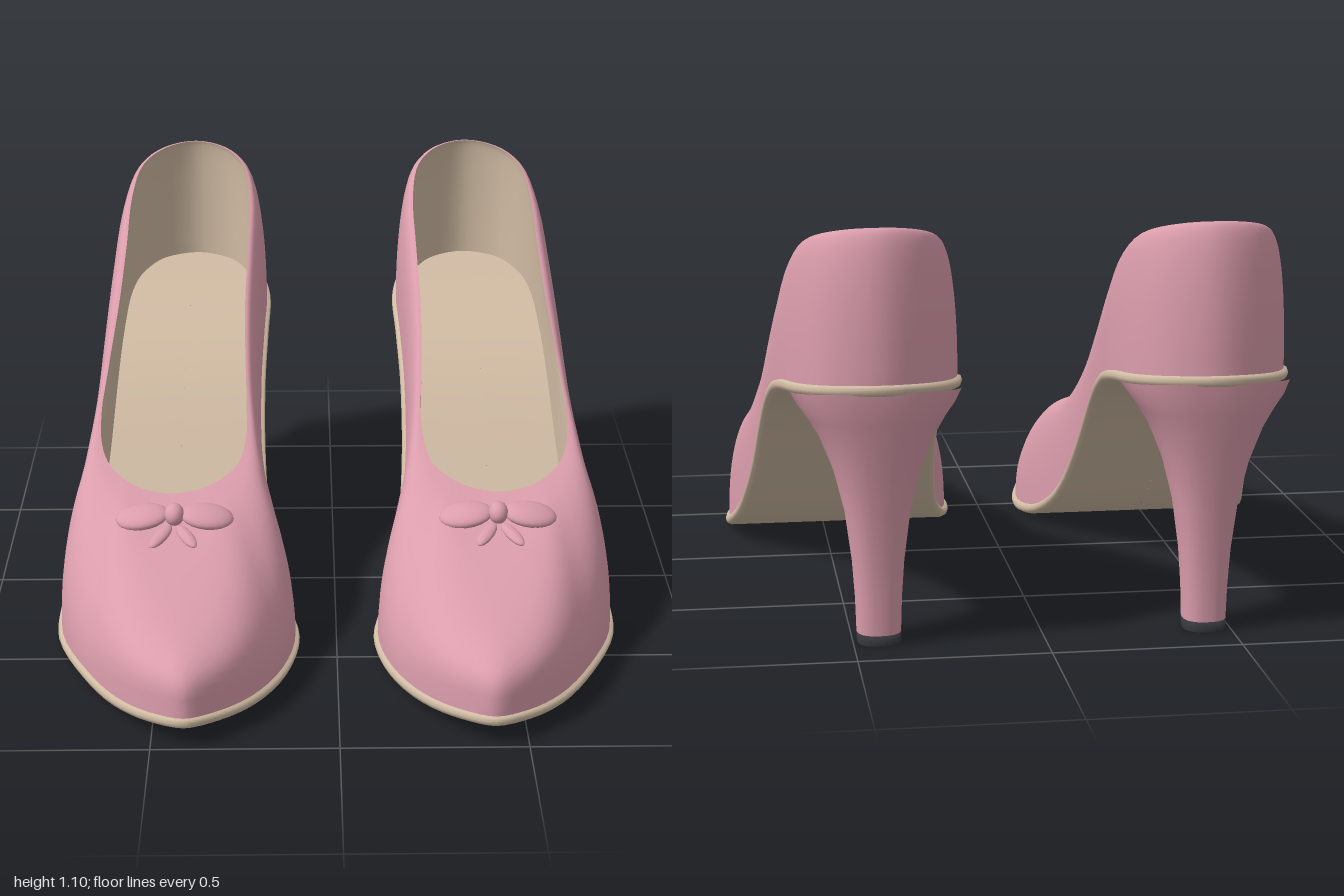
import * as THREE from 'three';

const N = 104, HALF = Math.PI / 2;
const mat = (name, color) => Object.assign(new THREE.MeshStandardMaterial({ color }), { name });

// Smooth curve y(z) through [z, y] pairs given in ascending z
function profile(pts) {
  const slope = pts.map((_, i) => {
    const a = pts[Math.max(i - 1, 0)], b = pts[Math.min(i + 1, pts.length - 1)];
    return (b[1] - a[1]) / (b[0] - a[0]);
  });
  return (z) => {
    z = THREE.MathUtils.clamp(z, pts[0][0], pts[pts.length - 1][0]);
    let i = 0;
    while (i < pts.length - 2 && z > pts[i + 1][0]) i++;
    const [z0, y0] = pts[i], [z1, y1] = pts[i + 1], d = z1 - z0, t = (z - z0) / d;
    return y0 * (1 + 2 * t) * (1 - t) ** 2 + slope[i] * d * t * (1 - t) ** 2
      + y1 * t * t * (3 - 2 * t) + slope[i + 1] * d * t * t * (t - 1);
  };
}

// Underside of the sole and top line of the upper, along the length
const base = profile([[-1, 0.682], [-0.85, 0.663], [-0.7, 0.645], [-0.55, 0.605], [-0.4, 0.535], [-0.3, 0.467],
  [-0.2, 0.383], [-0.1, 0.29], [0, 0.195], [0.1, 0.112], [0.2, 0.053], [0.3, 0.019], [0.42, 0.006],
  [0.6, 0.007], [0.8, 0.022], [1, 0.055]]);
const topLine = profile([[-0.96, 1.105], [-0.9, 1.092], [-0.8, 1.06], [-0.7, 1.013], [-0.5, 0.89], [-0.3, 0.75],
  [-0.1, 0.58], [0, 0.5], [0.1, 0.44], [0.2, 0.415], [0.3, 0.395], [0.4, 0.365], [0.5, 0.325],
  [0.6, 0.297], [0.7, 0.28], [0.8, 0.268], [1, 0.26]]);

// Closed plan loops [x, z]: toe, outer side, heel, inner side
const loop = (pts) => {
  const c = new THREE.CatmullRomCurve3(pts.map(([x, z]) => new THREE.Vector3(x, 0, z)), true, 'centripetal');
  return Array.from({ length: N }, (_, i) => c.getPoint(i / N));
};
const outline = loop([[0.41, 0.995], [0.51, 0.94], [0.61, 0.82], [0.71, 0.63], [0.79, 0.42], [0.797, 0.27],
  [0.765, 0.1], [0.73, -0.1], [0.712, -0.3], [0.698, -0.5], [0.682, -0.68], [0.645, -0.83], [0.57, -0.945],
  [0.43, -0.995], [0.3, -0.945], [0.225, -0.84], [0.193, -0.68], [0.198, -0.5], [0.207, -0.3], [0.203, -0.1],
  [0.18, 0.08], [0.14, 0.24], [0.105, 0.42], [0.14, 0.63], [0.225, 0.82], [0.32, 0.94]]);
const rim = loop([[0.465, 0.265], [0.515, 0.255], [0.56, 0.235], [0.605, 0.195], [0.65, 0.13], [0.68, 0.05],
  [0.685, -0.04], [0.67, -0.15], [0.645, -0.32], [0.63, -0.5], [0.62, -0.67], [0.59, -0.8], [0.52, -0.89],
  [0.43, -0.925], [0.345, -0.89], [0.28, -0.8], [0.255, -0.67], [0.258, -0.5], [0.265, -0.32], [0.262, -0.15],
  [0.255, -0.04], [0.262, 0.05], [0.285, 0.13], [0.33, 0.195], [0.375, 0.235], [0.42, 0.255]]);

// Outline moved inward by d
const inset = (d) => outline.map((p, i) => {
  const a = outline[(i + N - 1) % N], b = outline[(i + 1) % N];
  const t = b.clone().sub(a).normalize();
  return new THREE.Vector3(p.x + t.z * d, 0, p.z - t.x * d);
});

// Middle of the foot, used to fill the sole and insole
const midX = profile([[-1, 0.43], [-0.5, 0.447], [0, 0.46], [0.4, 0.45], [1, 0.41]]);
const fillRow = (pts, s, lift) => pts.map((p) =>
  new THREE.Vector3(THREE.MathUtils.lerp(midX(p.z), p.x, s), base(p.z) + lift, p.z));

// Skin over closed rows of points; side -1 mirrors it
function skin(rows, side) {
  const n = rows[0].length, pos = [], idx = [];
  rows.forEach((r) => r.forEach((p) => pos.push(p.x * side, p.y, p.z)));
  for (let i = 0; i < rows.length - 1; i++) for (let j = 0; j < n; j++) {
    const a = i * n + j, b = i * n + (j + 1) % n, c = a + n, d = b + n;
    if (side > 0) idx.push(a, b, d, a, d, c);
    else idx.push(a, d, b, a, c, d);
  }
  const g = new THREE.BufferGeometry();
  g.setAttribute('position', new THREE.Float32BufferAttribute(pos, 3));
  g.setIndex(idx);
  g.computeVertexNormals();
  return g;
}

// Rows rising from the sole edge to the opening along rounded arcs
function wallRows(edge, steps, shrink) {
  return Array.from({ length: steps + 1 }, (_, k) => {
    const a = HALF * k / steps, s = Math.sin(a), c = k === steps ? 0 : Math.cos(a);
    return edge.map((p, j) => {
      const e = 2 / (2.3 + 1.9 * THREE.MathUtils.smoothstep(outline[j].z, 0.6, 0.95));
      const q = p.clone().lerp(rim[j], 1 - c ** e), y0 = base(q.z) + 0.026;
      q.y = y0 + (topLine(q.z) - y0) * s ** e * (1 - shrink * c);
      return q;
    });
  });
}

// Rounded ring of the heel: height, front z, back z, half width
const heelRing = ([y, front, back, w]) => Array.from({ length: 32 }, (_, i) => {
  const a = i / 32 * Math.PI * 2, f = (t) => Math.sign(t) * Math.abs(t) ** 0.82;
  const z = (front + back) / 2 + f(Math.cos(a)) * (front - back) / 2;
  return new THREE.Vector3(0.432 + f(Math.sin(a)) * w, Math.min(y, base(z) + 0.008), z);
});

export function createModel() {
  const pink = mat('pink leather', 0xdb9dac);
  const tan = mat('beige lining and sole', 0xd0bba3);
  const dark = mat('dark heel tip', 0x36363c);
  const model = new THREE.Group();
  model.name = 'pairOfShoes';

  const soleRows = [0, 0.35, 0.7].map((s) => fillRow(inset(0.015), s, 0));
  [[0.015, 0], [0.004, 0.005], [0, 0.016], [0.004, 0.028], [0.03, 0.034]].forEach(([d, y]) =>
    soleRows.push(fillRow(inset(d), 1, y)));
  const liningEdge = inset(0.055);
  const insoleRows = [1, 0.66, 0.33, 0].map((s) => fillRow(liningEdge, s, 0.045));

  const heelRows = [[0.028, -0.775, -0.892, 0.058], [0.12, -0.772, -0.895, 0.061], [0.22, -0.762, -0.902, 0.068],
    [0.35, -0.74, -0.918, 0.085], [0.46, -0.713, -0.938, 0.112], [0.55, -0.683, -0.957, 0.148],
    [0.6, -0.66, -0.968, 0.178], [0.64, -0.632, -0.977, 0.207], [0.7, -0.61, -0.983, 0.222]].map(heelRing);
  const tipRows = [[0, -0.833, -0.834, 0.001], [0, -0.777, -0.89, 0.056], [0.001, -0.776, -0.891, 0.057],
    [0.029, -0.774, -0.893, 0.059], [0.03, -0.833, -0.834, 0.001]].map(heelRing);

  for (const side of [1, -1]) {
    const shoe = new THREE.Group();
    shoe.name = side > 0 ? 'leftShoe' : 'rightShoe';
    const add = (name, rows, m) => {
      const mesh = new THREE.Mesh(skin(rows, side), m);
      mesh.name = name;
      shoe.add(mesh);
    };
    add('upper', wallRows(inset(0.012), 18, 0), pink);
    add('lining', wallRows(liningEdge, 14, 0.08).reverse(), tan);
    add('insole', insoleRows, tan);
    add('sole', soleRows, tan);
    add('heel', heelRows, pink);
    add('heelTip', tipRows, dark);

    // Bow with two loops, a knot and two tails, resting on the vamp
    const bow = new THREE.Group();
    bow.name = 'bow';
    bow.position.set(0.455 * side, 0.385, 0.375);
    bow.rotation.x = 0.25;
    const blob = (name, scale, at, ry, rz) => {
      const m = new THREE.Mesh(new THREE.SphereGeometry(1, 20, 14), pink);
      m.name = name;
      m.scale.set(...scale);
      m.position.set(...at);
      m.rotation.set(0, ry, rz);
      bow.add(m);
    };
    blob('bowKnot', [0.028, 0.03, 0.036], [0, 0.005, 0], 0, 0);
    for (const s of [1, -1]) {
      blob('bowLoop', [0.076, 0.024, 0.053], [0.091 * s, -0.006, -0.004], 0, -0.14 * s);
      blob('bowTail', [0.019, 0.012, 0.054], [0.036 * s, -0.012, 0.077], 0.5 * s, 0);
    }
    shoe.add(bow);
    model.add(shoe);
  }
  return model;
}
